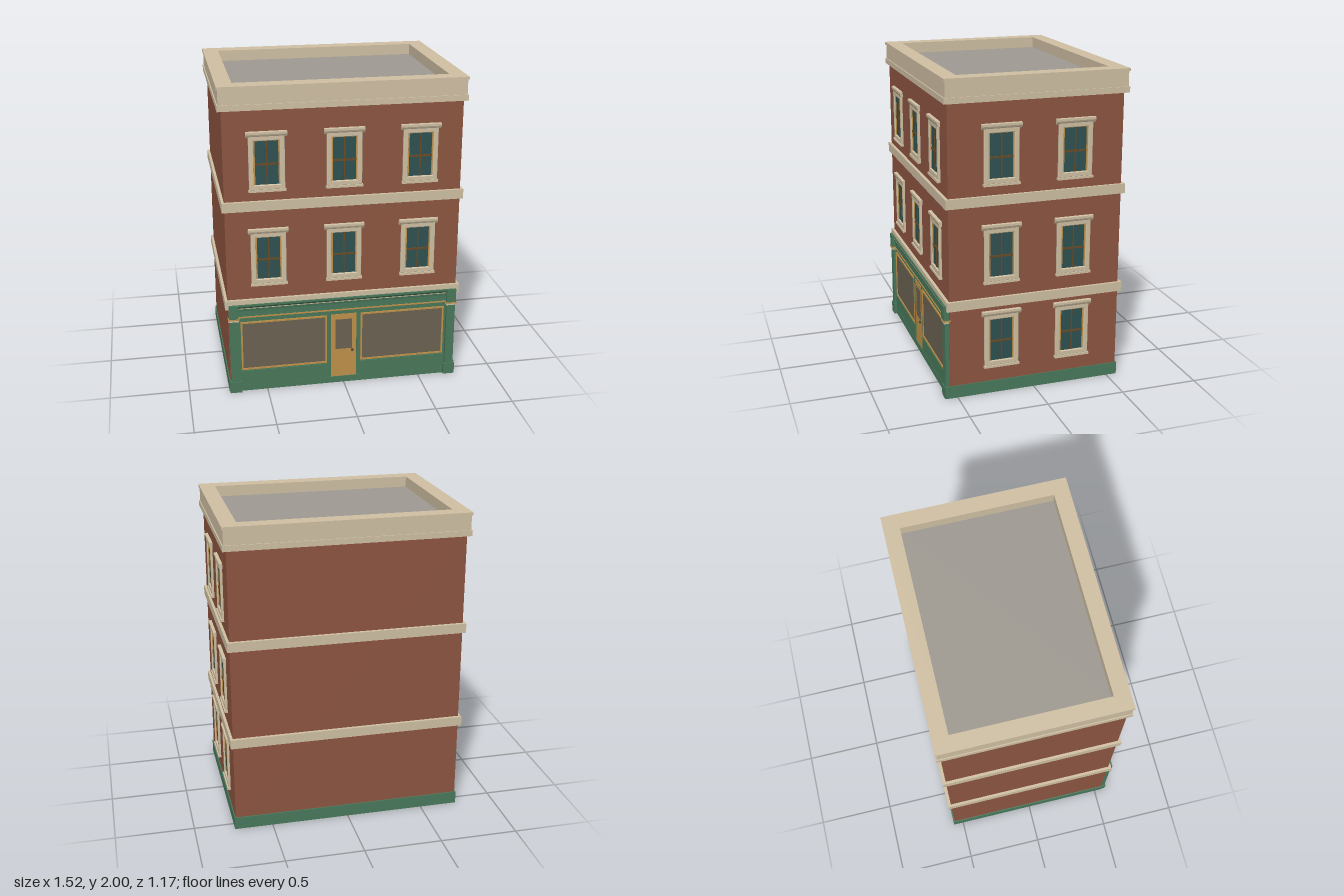
import * as THREE from 'three';

const mat = (color) => new THREE.MeshStandardMaterial({ color });
const M = {
  brick: mat(0x8f5641), stone: mat(0xd2c2a5), green: mat(0x4a7a5c), gold: mat(0xc0924a),
  teal: mat(0x2f5252), shopGlass: mat(0x6b6353), roof: mat(0xa09b93), bar: mat(0x6b4c26), dark: mat(0x4a3a28),
};
const ZC = -0.007; // middle of the building's depth
const HW = 0.738, HD = 0.553; // half width and half depth of the brick walls
const FRONT = ZC + HD;

function add(parent, name, geo, material, x = 0, y = 0, z = 0) {
  const mesh = new THREE.Mesh(geo, material);
  mesh.name = name;
  mesh.position.set(x, y, z);
  parent.add(mesh);
  return mesh;
}

// Box given by its limits
function block(parent, name, material, x0, x1, y0, y1, z0, z1) {
  return add(parent, name, new THREE.BoxGeometry(x1 - x0, y1 - y0, z1 - z0), material,
    (x0 + x1) / 2, (y0 + y1) / 2, (z0 + z1) / 2);
}

function rect(path, x0, x1, y0, y1) {
  path.moveTo(x0, y0);
  path.lineTo(x1, y0);
  path.lineTo(x1, y1);
  path.lineTo(x0, y1);
  path.closePath();
  return path;
}

// Rectangular frame in the xy plane, extruded along +z
function frameGeo(x0, x1, y0, y1, border, depth, bevel = 0) {
  const shape = rect(new THREE.Shape(), x0 + bevel, x1 - bevel, y0 + bevel, y1 - bevel);
  const b = border - bevel;
  shape.holes.push(rect(new THREE.Path(), x0 + b, x1 - b, y0 + b, y1 - b));
  return new THREE.ExtrudeGeometry(shape, {
    depth: depth - bevel, bevelEnabled: bevel > 0, bevelSize: bevel, bevelThickness: bevel, bevelSegments: 2,
  });
}

// Horizontal ring round the building between two heights
function ring(parent, name, material, halfW, halfD, border, y0, y1, zc = ZC) {
  const geo = frameGeo(-halfW, halfW, -halfD, halfD, border, y1 - y0);
  geo.rotateX(-Math.PI / 2);
  return add(parent, name, geo, material, 0, y0, zc);
}

// Moulding with a (z, y) profile run along x
function moulding(parent, name, material, x0, x1, points) {
  const shape = new THREE.Shape(points.map(([z, y]) => new THREE.Vector2(-z, y)));
  const geo = new THREE.ExtrudeGeometry(shape, { depth: x1 - x0, bevelEnabled: false });
  geo.rotateY(Math.PI / 2);
  return add(parent, name, geo, material, x0, 0, 0);
}

// Sash window; origin at the middle of the sill's underside, on the wall plane
function createWindow() {
  const g = new THREE.Group();
  g.name = 'window';
  add(g, 'surround', frameGeo(-0.11, 0.11, 0.012, 0.35, 0.031, 0.014, 0.004), M.stone);
  add(g, 'sashFrame', frameGeo(-0.08, 0.08, 0.028, 0.326, 0.009, 0.007), M.gold);
  block(g, 'glass', M.teal, -0.075, 0.075, 0.032, 0.322, -0.004, 0.002);
  block(g, 'verticalBar', M.bar, -0.004, 0.004, 0.035, 0.32, 0, 0.006);
  block(g, 'meetingRail', M.bar, -0.072, 0.072, 0.166, 0.178, 0, 0.008);
  block(g, 'sill', M.stone, -0.115, 0.115, 0, 0.014, -0.002, 0.021);
  moulding(g, 'headMoulding', M.stone, -0.125, 0.125, [
    [-0.002, 0.342], [0.012, 0.342], [0.017, 0.352], [0.02, 0.36], [0.02, 0.374], [-0.002, 0.376],
  ]);
  return g;
}

function createShopfront() {
  const g = new THREE.Group();
  g.name = 'shopfront';
  const z = FRONT;
  block(g, 'backPanel', M.green, -0.73, 0.73, 0, 0.6, z - 0.01, z + 0.006);
  block(g, 'doorstep', M.green, -0.68, 0.68, 0, 0.042, z - 0.01, z + 0.015);
  // Fascia with a hollow face and a thin gold rail under it
  moulding(g, 'fascia', M.green, -0.735, 0.735, [
    [z - 0.01, 0.525], [z + 0.014, 0.525], [z + 0.014, 0.54], [z + 0.015, 0.565],
    [z + 0.019, 0.585], [z + 0.027, 0.598], [z + 0.027, 0.61], [z - 0.01, 0.61],
  ]);
  block(g, 'fasciaRail', M.gold, -0.68, 0.68, 0.517, 0.526, z, z + 0.018);
  for (const s of [-1, 1]) {
    // Display window and the panel below it
    const cx = s * 0.386;
    add(g, 'displayFrame', frameGeo(cx - 0.276, cx + 0.276, 0.148, 0.485, 0.011, 0.014), M.gold, 0, 0, z);
    block(g, 'displayGlass', M.shopGlass, cx - 0.27, cx + 0.27, 0.153, 0.48, z, z + 0.008);
    block(g, 'stallRiser', M.green, cx - 0.29, cx + 0.29, 0.042, 0.14, z, z + 0.013);
    block(g, 'doorJamb', M.green, s * 0.098 - 0.011, s * 0.098 + 0.011, 0.042, 0.517, z, z + 0.011);
    // Pilaster
    const px = s * 0.705;
    block(g, 'pilaster', M.green, px - 0.028, px + 0.028, 0, 0.6, z - 0.01, z + 0.028);
    block(g, 'pilasterBase', M.green, px - 0.036, px + 0.038, 0, 0.075, z - 0.01, z + 0.034);
    block(g, 'pilasterCapital', M.stone, px - 0.033, px + 0.033, 0.5, 0.511, z - 0.01, z + 0.034);
    block(g, 'pilasterCollar', M.gold, px - 0.036, px + 0.036, 0.511, 0.519, z - 0.01, z + 0.037);
    block(g, 'fasciaBracket', M.green, px - 0.03, px + 0.03, 0.519, 0.61, z - 0.01, z + 0.034);
  }
  // Door with a glazed upper half
  const door = new THREE.Group();
  door.name = 'door';
  block(door, 'doorLeaf', M.gold, -0.083, 0.083, 0.042, 0.487, z, z + 0.01);
  block(door, 'doorGlass', M.shopGlass, -0.054, 0.054, 0.24, 0.45, z, z + 0.0115);
  add(door, 'doorKnob', new THREE.SphereGeometry(0.009, 12, 8), M.dark, 0.056, 0.23, z + 0.016);
  g.add(door);
  return g;
}

export function createModel() {
  const model = new THREE.Group();
  model.name = 'cornerShopBuilding';

  // Walls, roof and base
  block(model, 'brickWalls', M.brick, -HW, HW, 0, 1.87, ZC - HD, ZC + HD);
  ring(model, 'plinth', M.green, 0.745, HD + 0.009, 0.03, 0, 0.08);
  block(model, 'flatRoof', M.roof, -0.67, 0.67, 1.86, 1.93, ZC - 0.49, ZC + 0.49);

  // Stone bands and parapet
  ring(model, 'lowerBand', M.stone, 0.755, 0.573, 0.05, 0.58, 0.64, ZC - 0.001);
  ring(model, 'upperBand', M.stone, 0.755, 0.573, 0.05, 1.225, 1.286, ZC - 0.001);
  ring(model, 'corniceFoot', M.stone, 0.762, 0.577, 0.1, 1.853, 1.889, ZC - 0.003);
  ring(model, 'parapet', M.stone, 0.755, 0.57, 0.093, 1.889, 1.982, ZC - 0.003);
  ring(model, 'parapetCap', M.stone, 0.762, 0.577, 0.1, 1.982, 2, ZC - 0.003);

  // Windows: two floors on the front, three on the left side
  for (const y of [0.73, 1.345]) {
    for (const x of [-0.474, 0, 0.474]) {
      const w = createWindow();
      w.position.set(x, y, FRONT);
      model.add(w);
    }
  }
  for (const y of [0.175, 0.73, 1.345]) {
    for (const z of [0.216, -0.25]) {
      const w = createWindow();
      w.position.set(HW, y, z);
      w.rotation.y = Math.PI / 2;
      model.add(w);
    }
  }

  model.add(createShopfront());
  return model;
}
